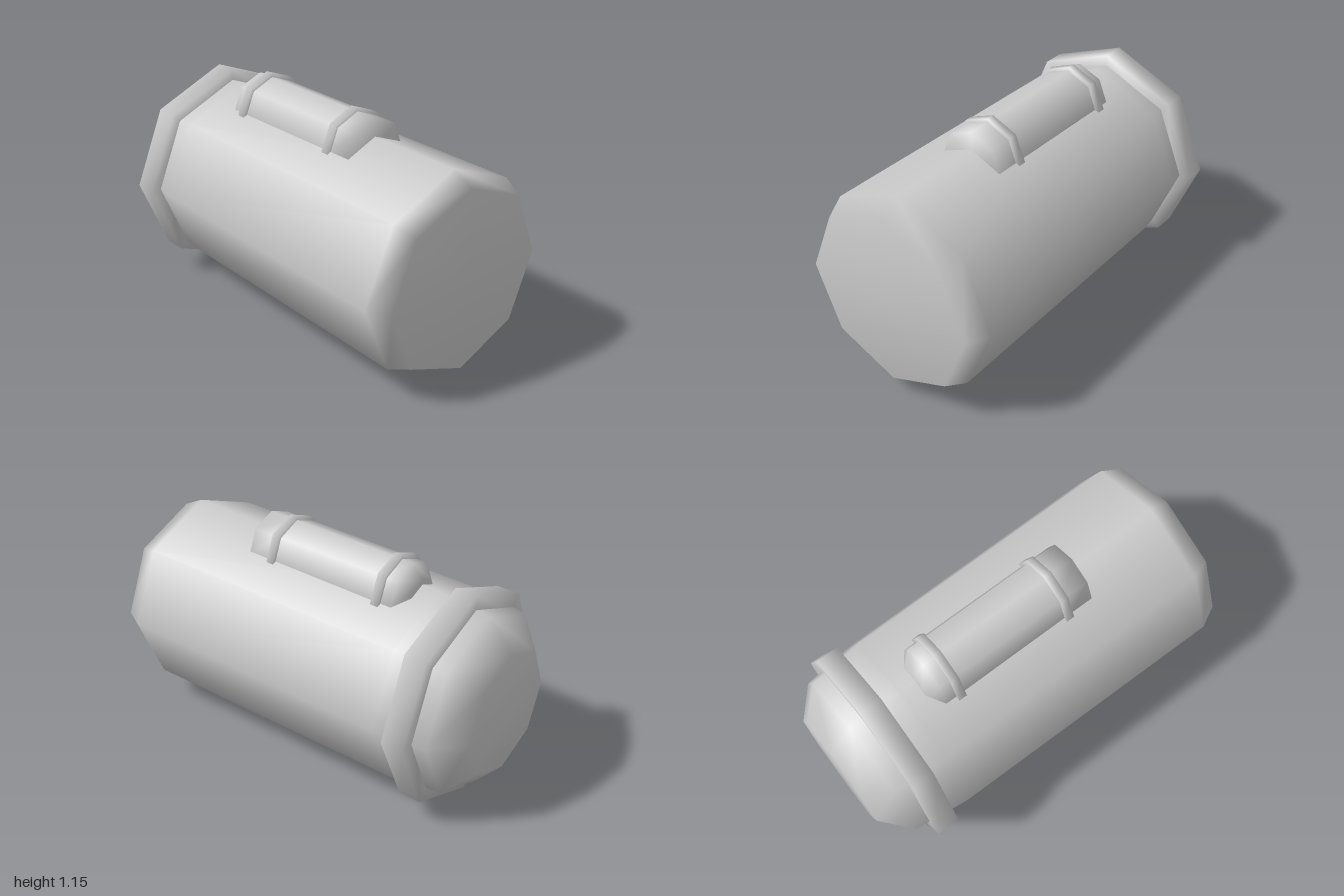
import * as THREE from 'three';

const SIDES = 8;

// Eight-sided turned part lying along z; profile is [radius, z] from back to front.
function turned(name, profile, y, material) {
  const points = profile.map(([r, z]) => new THREE.Vector2(r, z));
  const geometry = new THREE.LatheGeometry(points, SIDES);
  geometry.rotateX(Math.PI / 2);
  const mesh = new THREE.Mesh(geometry, material);
  mesh.name = name;
  mesh.position.y = y;
  return mesh;
}

// Closed ring profile between two radii and two depths.
const ring = (inner, outer, back, front) => [
  [inner, back], [outer, back], [outer, front], [inner, front],
];

export function createModel() {
  const group = new THREE.Group();
  group.name = 'canister';
  const grey = new THREE.MeshStandardMaterial({ color: 0xcccccc });
  const bodyY = 0.54;
  const tubeY = 0.963;

  // Main barrel with bevelled front and domed back
  group.add(turned('barrel', [
    [0, -1], [0.31, -1], [0.46, -0.87], [0.495, -0.6],
    [0.51, 0.89], [0.455, 1], [0, 1],
  ], bodyY, grey));

  // Wide collar near the back
  group.add(turned('collar', ring(0.44, 0.54, -0.8, -0.685), bodyY, grey));

  // Small tube half sunk into the top
  group.add(turned('topTube', [
    [0, -0.508], [0.1, -0.508], [0.166, -0.45], [0.167, -0.37],
    [0.17, 0.26], [0.171, 0.4], [0, 0.4],
  ], tubeY, grey));

  // Bands clamping the small tube
  [['backBand', -0.372], ['frontBand', 0.258]].forEach(([name, z]) => {
    group.add(turned(name, ring(0.15, 0.187, z - 0.021, z + 0.021), tubeY, grey));
  });

  return group;
}
